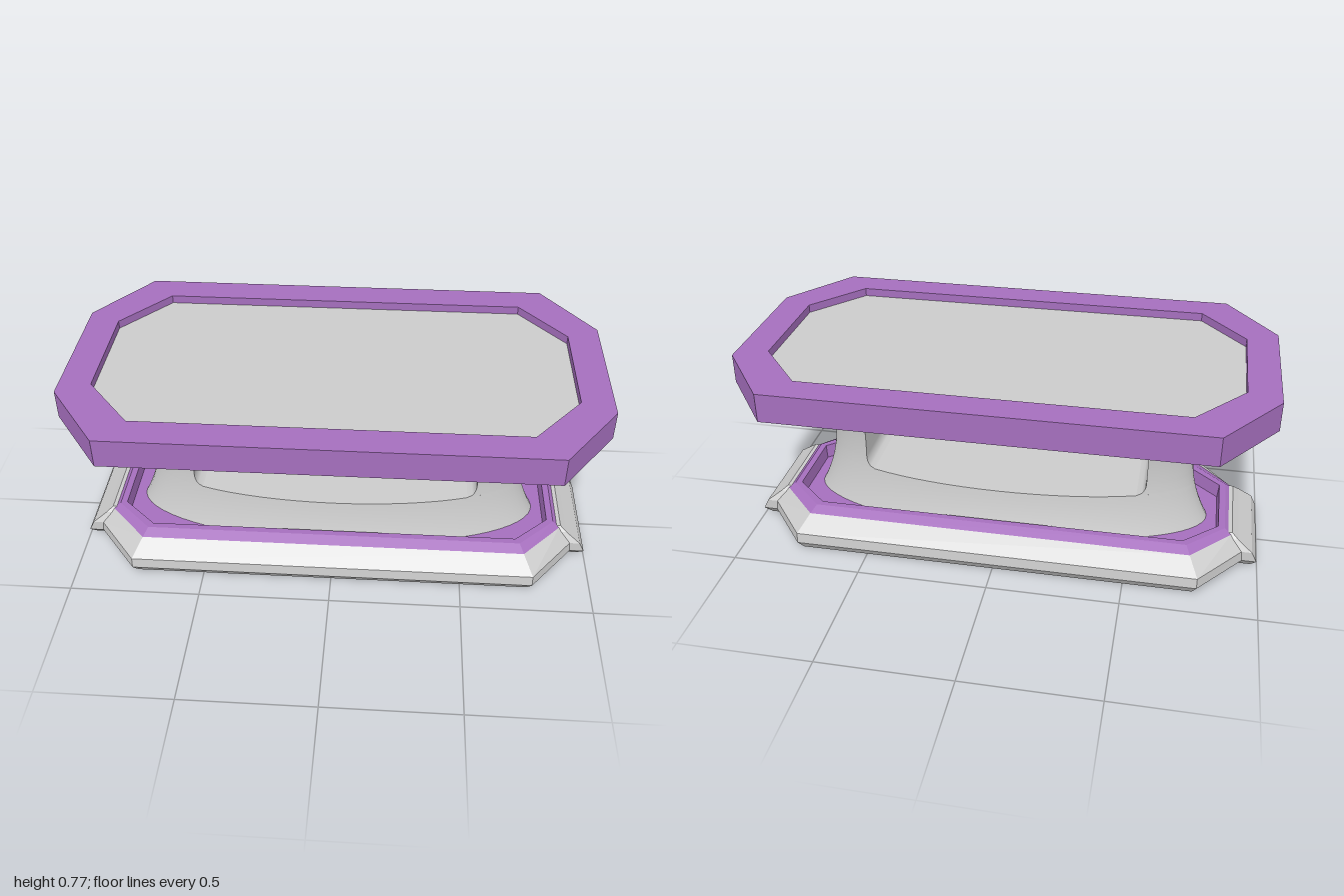
import * as THREE from 'three';
import { mergeGeometries } from 'three/addons/utils/BufferGeometryUtils.js';

// Surface through rows of points; each row runs from +x towards +z
function skin(rows, closed = true) {
  const n = rows[0].length, index = [];
  for (let i = 0; i < rows.length - 1; i++) {
    for (let j = 0; j < (closed ? n : n - 1); j++) {
      const a = i * n + j, b = i * n + (j + 1) % n;
      index.push(a, a + n, b, b, a + n, b + n);
    }
  }
  const g = new THREE.BufferGeometry().setFromPoints(rows.flat());
  g.setIndex(index);
  g.computeVertexNormals();
  return g;
}

// Flat lid over a convex row
function lid(row, up) {
  const index = [];
  for (let j = 1; j < row.length - 1; j++) index.push(0, up ? j + 1 : j, up ? j : j + 1);
  const g = new THREE.BufferGeometry().setFromPoints(row);
  g.setIndex(index);
  g.computeVertexNormals();
  return g;
}

const solid = rows => mergeGeometries([skin(rows), lid(rows[0], false), lid(rows.at(-1), true)]);

// Long octagon: half length X, half depth Z, corners at (cx, Z) and (X, cz)
const octagon = (y, X, Z, cx, cz) => [
  [X, -cz], [X, cz], [cx, Z], [-cx, Z], [-X, cz], [-X, -cz], [-cx, -Z], [cx, -Z],
].map(([x, z]) => new THREE.Vector3(x, y, z));

// Pedestal section: an ellipse, narrowest at the waist
const radii = y => [0.722 + 0.94 * (y - 0.37) ** 2, 0.218 + 0.68 * (y - 0.37) ** 2];
function arc(y, from, to, n) {
  const [a, b] = radii(y);
  return Array.from({ length: n + 1 }, (_, i) => {
    const t = from + (to - from) * i / n;
    return new THREE.Vector3(a * Math.cos(t), y, b * Math.sin(t));
  });
}
const steps = (lo, hi, n) => Array.from({ length: n + 1 }, (_, i) => lo + (hi - lo) * i / n);
const ellipse = y => arc(y, 0, Math.PI * 2, 64).slice(0, -1);

export function createModel() {
  const model = new THREE.Group();
  const purple = 0xa56fbd, grey = 0xcccccc;
  const add = (name, geometry, color, flatShading = true, parent = model) => {
    const mesh = new THREE.Mesh(geometry, new THREE.MeshStandardMaterial({
      color, flatShading, side: THREE.DoubleSide,
    }));
    mesh.name = name;
    parent.add(mesh);
    return mesh;
  };

  // Table top: hollow rim around a recessed panel
  const outer = [1, 0.55, 0.8, 0.275], inner = [0.88, 0.43, 0.705, 0.218];
  add('tableRim', skin([
    octagon(0.66, ...outer), octagon(0.77, ...outer),
    octagon(0.77, ...inner), octagon(0.73, ...inner),
  ]), purple);
  add('tablePanel', solid([octagon(0.73, ...inner), octagon(0.738, ...inner)]), grey);

  // Pedestal: solid foot and head, joined by two end columns beside the slot
  const pedestal = new THREE.Group();
  pedestal.name = 'pedestal';
  model.add(pedestal);
  const low = 0.255, high = 0.475;
  add('pedestalFoot', solid(steps(0.085, low, 8).map(ellipse)), grey, false, pedestal);
  add('pedestalHead', solid(steps(high, 0.732, 12).map(ellipse)), grey, false, pedestal);

  // Slot ends have rounded corners
  const heights = [...steps(low, low + 0.045, 6), ...steps(low + 0.045, high - 0.045, 6).slice(1),
    ...steps(high - 0.045, high, 6).slice(1)];
  const slotAngle = y => {
    const d = Math.min(1, Math.min(y - low, high - y) / 0.045);
    const x = 0.52 + 0.035 * Math.sqrt(Math.max(0, 1 - (1 - d) ** 2));
    return Math.acos(x / radii(y)[0]);
  };
  const arcs = heights.map(y => arc(y, -slotAngle(y), slotAngle(y), 24));
  const column = mergeGeometries([
    skin(arcs, false),
    skin(arcs.map(r => [r.at(-1).clone(), r[0].clone()]), false),
  ]);
  add('leftColumn', column, grey, false, pedestal);
  add('rightColumn', column, grey, false, pedestal).rotation.y = Math.PI;

  // Base: bevelled octagon with a coloured, recessed top
  const shoulder = octagon(0.128, 0.89, 0.33, 0.74, 0.17);
  add('baseBody', mergeGeometries([skin([
    octagon(0, 0.92, 0.38, 0.76, 0.18),
    octagon(0.035, 0.94, 0.405, 0.775, 0.2),
    octagon(0.075, 0.935, 0.4, 0.775, 0.2),
    shoulder,
  ]), lid(octagon(0, 0.92, 0.38, 0.76, 0.18), false)]), grey);
  const floor = octagon(0.09, 0.835, 0.26, 0.705, 0.14);
  add('baseTrim', mergeGeometries([skin([
    shoulder,
    octagon(0.145, 0.865, 0.29, 0.725, 0.155),
    octagon(0.145, 0.84, 0.265, 0.71, 0.145),
    floor,
  ]), lid(floor, true)]), purple);

  // Bumpers at both ends of the base: height, outer x, half width
  const bumper = solid([
    [0, 0.975, 0.17], [0.035, 0.995, 0.2], [0.075, 0.975, 0.2],
    [0.115, 0.92, 0.18], [0.135, 0.895, 0.165],
  ].map(([y, x, w]) => [[x, -w], [x, w], [0.87, w], [0.87, -w]]
    .map(([px, pz]) => new THREE.Vector3(px, y, pz))));
  add('leftBumper', bumper, grey);
  add('rightBumper', bumper, grey).rotation.y = Math.PI;

  return model;
}
